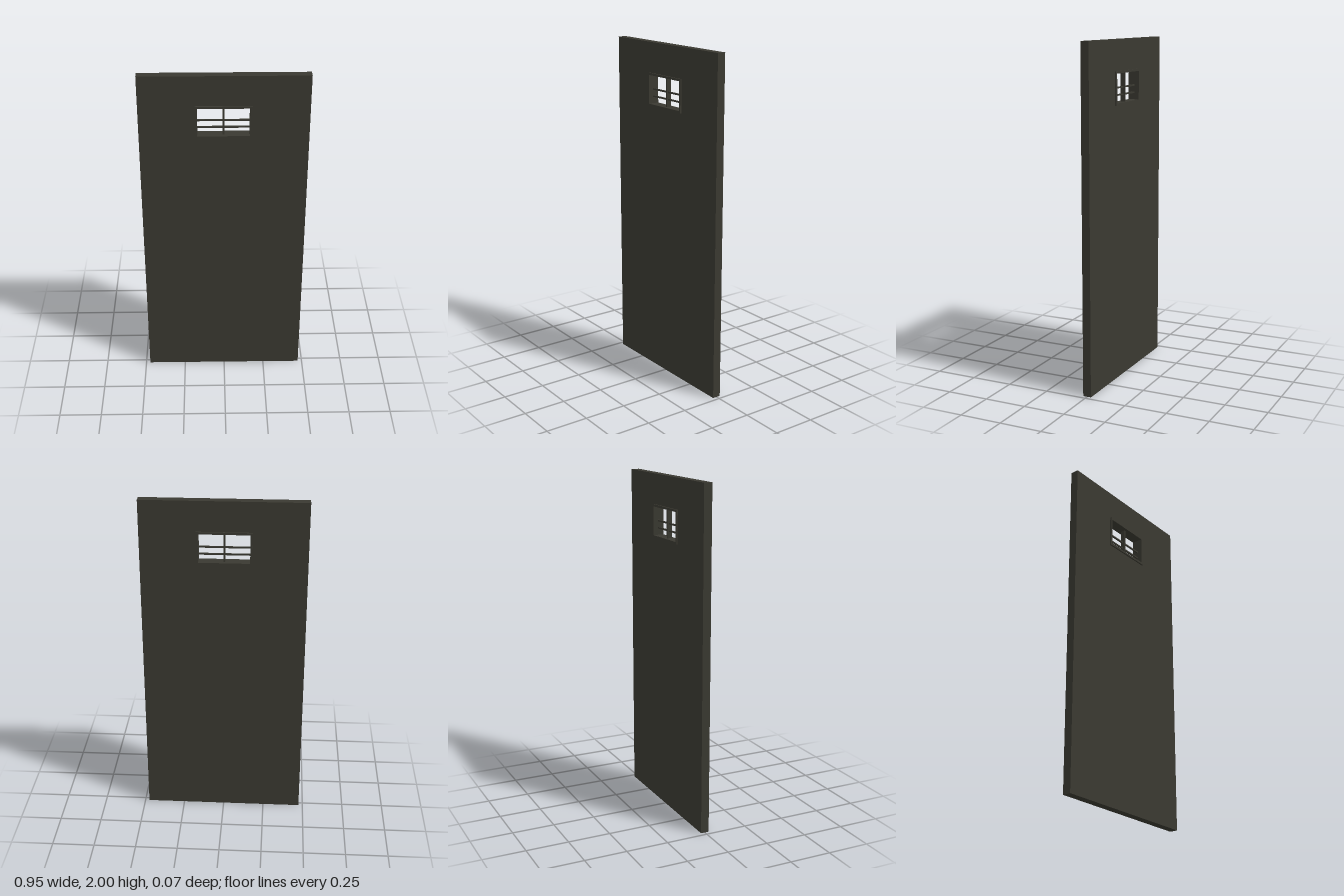
import * as THREE from 'three';

const WINDOW = { x: -0.003, y: 1.726, w: 0.318, h: 0.194, border: 0.013 };

// Upright rectangular panel with a rectangular hole, centred on z = 0
function holedPanel(x, y, w, h, hole, depth) {
  const corners = (cx, cy, cw, ch) => [[-1, -1], [1, -1], [1, 1], [-1, 1]]
    .map(([sx, sy]) => new THREE.Vector2(cx + sx * cw / 2, cy + sy * ch / 2));
  const shape = new THREE.Shape(corners(x, y, w, h));
  shape.holes.push(new THREE.Path(corners(hole.x, hole.y, hole.w, hole.h).reverse()));
  return new THREE.ExtrudeGeometry(shape, { depth, bevelEnabled: false })
    .translate(0, 0, -depth / 2);
}

export function createModel() {
  const group = new THREE.Group();
  const darkPaint = new THREE.MeshStandardMaterial({ color: 0x3a3931 });
  darkPaint.name = 'darkPaint';

  const add = (name, geometry) => {
    const mesh = new THREE.Mesh(geometry, darkPaint);
    mesh.name = name;
    group.add(mesh);
    return mesh;
  };

  const { x, y, w, h, border } = WINDOW;
  const opening = { x, y, w: w - 2 * border, h: h - 2 * border };

  // Door leaf, cut out to receive the window frame
  add('doorLeaf', holedPanel(0, 1, 0.95, 2, { x, y, w: w - border, h: h - border }, 0.049));

  // Window frame, standing slightly proud of both faces
  add('windowFrame', holedPanel(x, y, w, h, opening, 0.066));

  // Upright dividing bar
  add('uprightBar', new THREE.BoxGeometry(0.01, opening.h, 0.028)).position.set(x, y, 0);

  // Crossbars: one at mid height, one halfway below it
  [0, -opening.h / 4].forEach((dy, i) => {
    add(`crossbar${i + 1}`, new THREE.BoxGeometry(opening.w, 0.009, 0.009))
      .position.set(x, y + dy, 0);
  });

  return group;
}
